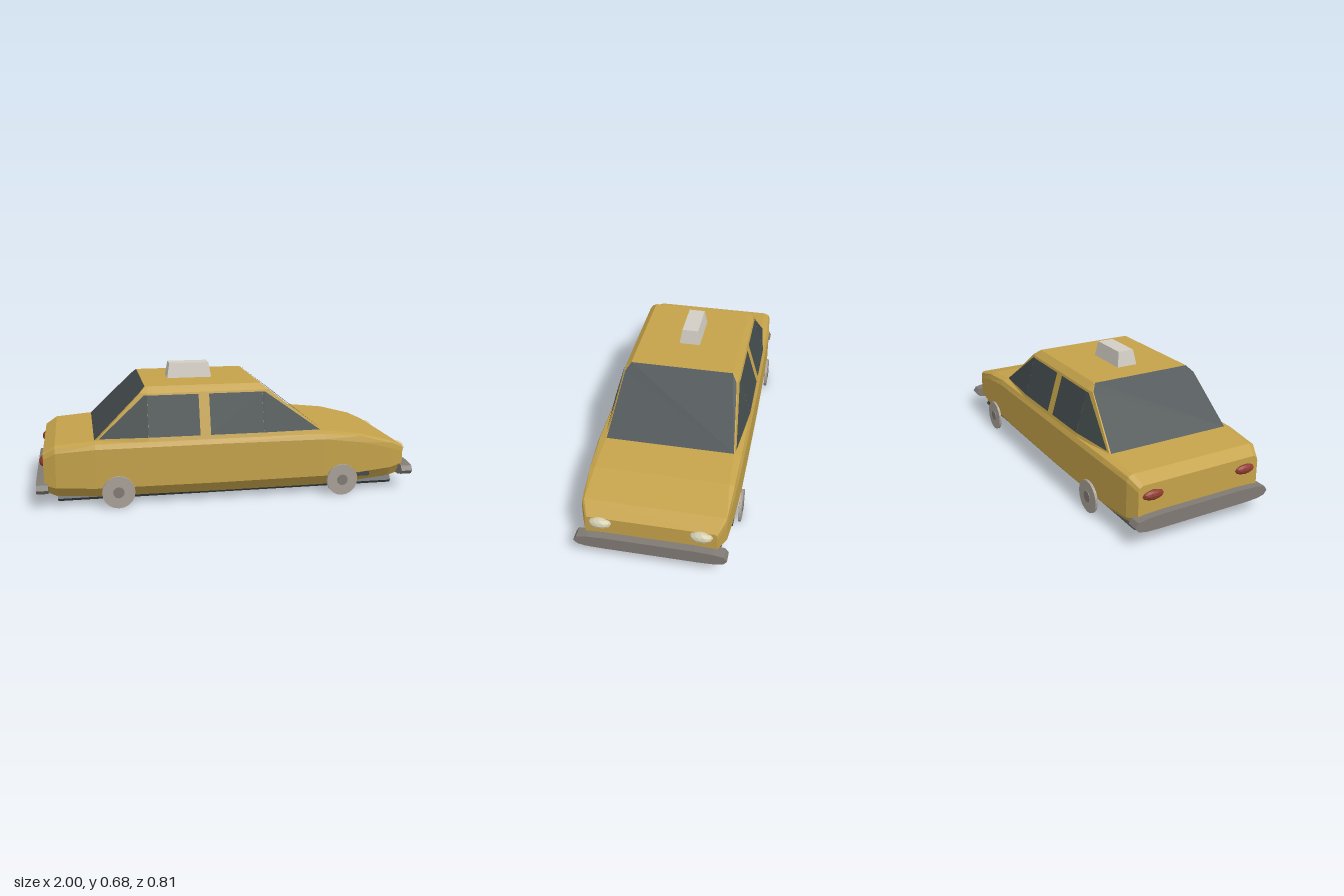
import * as THREE from 'three';

const mat = (name, color) => Object.assign(new THREE.MeshStandardMaterial({ color }), { name });

// Closed faceted solid through rings of [x, y, z] points; caps are fans
function loft(rings) {
  const tris = [], n = rings[0].length, last = rings[rings.length - 1];
  for (let r = 0; r < rings.length - 1; r++) {
    for (let i = 0; i < n; i++) {
      const j = (i + 1) % n, a = rings[r], b = rings[r + 1];
      tris.push([a[i], a[j], b[j]], [a[i], b[j], b[i]]);
    }
  }
  for (let i = 1; i < n - 1; i++) {
    tris.push([rings[0][0], rings[0][i + 1], rings[0][i]], [last[0], last[i], last[i + 1]]);
  }
  // Turn the faces outward whichever way the rings run
  const v = (p) => new THREE.Vector3(...p);
  const volume = tris.reduce((s, t) => s + v(t[0]).dot(v(t[1]).cross(v(t[2]))), 0);
  if (volume < 0) tris.forEach((t) => t.reverse());
  return fromTriangles(tris);
}

function fromTriangles(tris) {
  const g = new THREE.BufferGeometry();
  g.setAttribute('position', new THREE.Float32BufferAttribute(tris.flat(2), 3));
  g.computeVertexNormals();
  return g;
}

function faceted(g) {
  const f = g.index ? g.toNonIndexed() : g;
  f.computeVertexNormals();
  return f;
}

// Convex flat pane lifted slightly away from the cabin centre
function pane(points) {
  const p = points.map((q) => new THREE.Vector3(...q));
  const normal = p[1].clone().sub(p[0]).cross(p[2].clone().sub(p[0])).normalize();
  const out = p[0].clone().sub(new THREE.Vector3(-0.12, 0.3, 0));
  if (normal.dot(out) < 0) { normal.negate(); p.reverse(); }
  const q = p.map((a) => a.addScaledVector(normal, 0.004).toArray());
  const tris = [];
  for (let i = 1; i < q.length - 1; i++) tris.push([q[0], q[i], q[i + 1]]);
  return fromTriangles(tris);
}

// Full [y, z] outline from a half outline
const mirrored = (half) => [...half, ...half.map(([y, z]) => [y, -z]).reverse()];

export function createModel() {
  const car = new THREE.Group();
  car.name = 'car';
  const yellow = mat('yellow paint', 0xc4a24a);
  const dark = mat('dark glass', 0x434b4c);
  const grey = mat('bumper grey', 0x807a74);
  const wheelGrey = mat('wheel grey', 0xa8a197);
  const cream = mat('headlight cream', 0xd2ccad);
  const red = mat('tail light red', 0x8e3b2e);
  const signGrey = mat('sign grey', 0xd3cec4);

  const add = (name, geometry, material, x = 0, y = 0, z = 0) => {
    const m = new THREE.Mesh(geometry, material);
    m.name = name;
    m.position.set(x, y, z);
    car.add(m);
    return m;
  };

  // Body: x, half width, bottom, lower crease, shoulder, top, top inset
  const sections = [
    [-0.96, 0.34, 0.08, 0.125, 0.26, 0.29, 0.025],
    [-0.90, 0.367, 0.06, 0.115, 0.295, 0.328, 0.035],
    [-0.70, 0.384, 0.05, 0.107, 0.31, 0.344, 0.048],
    [-0.10, 0.386, 0.045, 0.105, 0.312, 0.346, 0.05],
    [0.50, 0.382, 0.045, 0.107, 0.308, 0.345, 0.047],
    [0.70, 0.374, 0.055, 0.115, 0.28, 0.322, 0.035],
    [0.88, 0.36, 0.067, 0.128, 0.235, 0.274, 0.015],
    [0.96, 0.325, 0.08, 0.14, 0.205, 0.238, 0.012],
  ];
  add('body', loft(sections.map(([x, w, bottom, low, shoulder, top, inset]) => mirrored([
    [bottom, w * 0.87], [low, w], [shoulder, w], [top - 0.01, w - inset * 0.25], [top, w - inset],
  ]).map(([y, z]) => [x, y, z]))), yellow);

  // Dark floor pan
  const pan = mirrored([[0.017, 0.2], [0.022, 0.28], [0.03, 0.315], [0.047, 0.332], [0.075, 0.31]]);
  add('floorPan', loft([-0.895, 0.895].map((x) => pan.map(([y, z]) => [x, y, z]))), dark);

  // Cabin: rings at belt, roof edge and roof
  const base = [[-0.70, 0.337], [-0.43, 0.375], [0.17, 0.375], [0.50, 0.337]];
  const edge = [[-0.467, 0.30], [-0.43, 0.306], [0.17, 0.306], [0.208, 0.30]];
  const roof = [[-0.435, 0.27], [-0.42, 0.272], [0.155, 0.272], [0.17, 0.27]];
  const ring = (half, y) => mirrored(half).map(([x, z]) => [x, y, z]);
  add('cabin', loft([ring(base, 0.338), ring(edge, 0.572), ring(roof, 0.603)]), yellow);

  // Windscreen and rear window
  for (const [name, i] of [['rearWindow', 0], ['windscreen', 3]]) {
    const [bx, bz] = base[i], [ex, ez] = edge[i], [rx, rz] = roof[i];
    add(name, pane([
      [bx, 0.342, bz - 0.005], [ex, 0.57, ez - 0.003], [rx, 0.601, rz],
      [rx, 0.601, -rz], [ex, 0.57, 3e-3 - ez], [bx, 0.342, 0.005 - bz],
    ]), dark);
  }

  // Side windows, each a flat pane with a tapering quarter pane
  for (const s of [1, -1]) {
    const side = s > 0 ? 'left' : 'right';
    const z = (y) => s * (0.375 - (y - 0.338) * 0.295);
    for (const [name, x0, x1, tip, top] of [
      ['Rear', -0.165, -0.43, -0.68, -0.445], ['Front', -0.11, 0.17, 0.48, 0.185],
    ]) {
      add(side + name + 'Window', pane([
        [x0, 0.357, z(0.357)], [x1, 0.357, z(0.357)], [x1, 0.562, z(0.562)], [x0, 0.562, z(0.562)],
      ]), dark);
      add(side + name + 'QuarterWindow', pane([
        [x1, 0.357, z(0.357)], [tip, 0.352, s * 0.338], [top, 0.562, s * 0.306], [x1, 0.562, z(0.562)],
      ]), dark);
    }

    // Wheels and hubs
    for (const x of [-0.59, 0.595]) {
      const disc = (r, depth, n) => faceted(new THREE.CylinderGeometry(r, r, depth, n).rotateX(Math.PI / 2));
      add(side + 'Wheel', disc(0.084, 0.013, 20), wheelGrey, x, 0.085, s * 0.3935);
      add(side + 'Hub', disc(0.029, 0.022, 12), grey, x, 0.085, s * 0.393);
    }
    // Dark gap ahead of the front wheel
    add(side + 'WheelGap', new THREE.BoxGeometry(0.09, 0.024, 0.02), dark, 0.71, 0.104, s * 0.361);

    // Lamps
    const lamp = (rx, ry, rz) => faceted(new THREE.IcosahedronGeometry(1, 1).scale(rx, ry, rz));
    add(side + 'Headlight', lamp(0.03, 0.03, 0.057), cream, 0.962, 0.213, s * 0.247);
    add(side + 'TailLight', lamp(0.022, 0.026, 0.057), red, -0.96, 0.234, s * 0.262);
  }

  // Bumpers
  const bar = mirrored([
    [0.074, 0.24], [0.077, 0.32], [0.086, 0.36], [0.108, 0.378], [0.133, 0.362], [0.142, 0.31], [0.146, 0.22],
  ]);
  for (const s of [1, -1]) {
    add(s > 0 ? 'frontBumper' : 'rearBumper',
      loft([0.94, 1].map((x) => bar.map(([y, z]) => [s * x, y, z]))), grey);
  }

  // Roof sign
  const rect = (w, d, y) => [[w, d], [-w, d], [-w, -d], [w, -d]].map(([x, z]) => [x, y, z]);
  add('roofSign', loft([rect(0.121, 0.057, 0.6), rect(0.107, 0.043, 0.682)]), signGrey, -0.175);

  return car;
}
